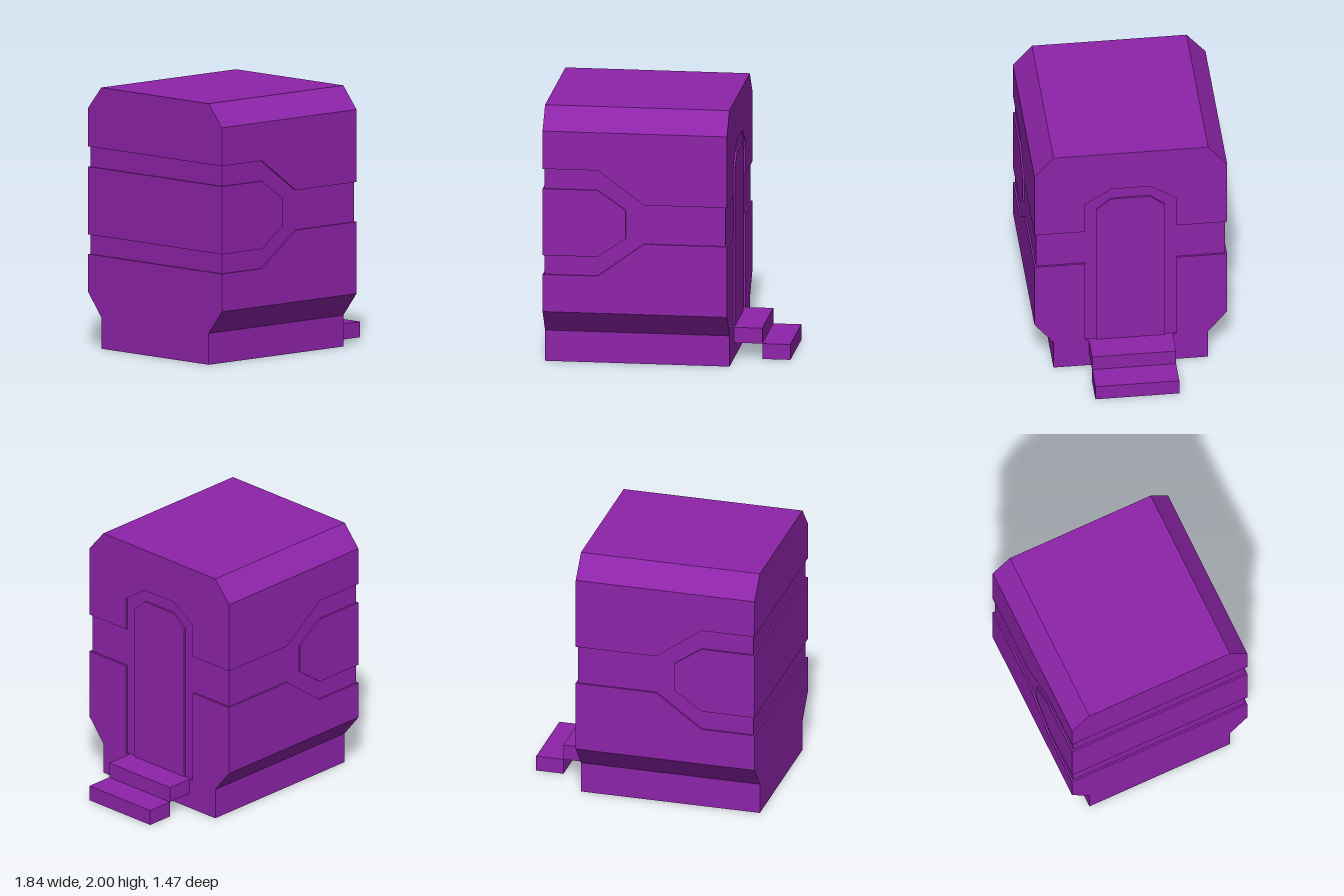
import * as THREE from 'three';
import { mergeGeometries } from 'three/addons/utils/BufferGeometryUtils.js';

// Outer shell bounds and the slightly inset bounds of the groove floor
const BACK = -0.92, FRONT = 0.49, SIDE = 0.735, INSET = 0.014;
const IN_BACK = BACK + INSET, IN_FRONT = FRONT - INSET, IN_SIDE = SIDE - INSET;

const material = new THREE.MeshStandardMaterial({
  color: 0x8e24aa, flatShading: true, side: THREE.DoubleSide,
});

// Half outlines, mirrored across z where needed
const mirrorZ = (pts) => [...pts, ...pts.map(([z, y]) => [-z, y]).reverse()];
const mirrorZ3 = (pts) => [...pts, ...pts.map(([x, y, z]) => [x, y, -z]).reverse()];

// Flat polygon on a wall; axis 'z' takes [x, y] points, axis 'x' takes [z, y]
function wall(points, axis, at) {
  const g = new THREE.ShapeGeometry(new THREE.Shape(points.map(([u, v]) => new THREE.Vector2(u, v))));
  const p = g.attributes.position;
  for (let i = 0; i < p.count; i++) {
    const u = p.getX(i), v = p.getY(i);
    if (axis === 'z') p.setXYZ(i, u, v, at);
    else p.setXYZ(i, at, v, u);
  }
  const flip = axis === 'z' ? at < 0 : at > 0;
  if (flip) g.setIndex([...g.index.array].reverse());
  return finish(g);
}

function finish(g) {
  const out = g.index ? g.toNonIndexed() : g;
  out.deleteAttribute('uv');
  out.computeVertexNormals();
  return out;
}

// Quads joining two matching rows of points
function strip(a, b, closed) {
  const pos = [];
  for (let i = 0; i < a.length - (closed ? 0 : 1); i++) {
    const j = (i + 1) % a.length;
    pos.push(...a[i], ...b[i], ...b[j], ...a[i], ...b[j], ...a[j]);
  }
  const g = new THREE.BufferGeometry();
  g.setAttribute('position', new THREE.Float32BufferAttribute(pos, 3));
  return finish(g);
}

// Narrow edge stepping from the outer shell down to the groove floor
function rim(loop) {
  const { clamp } = THREE.MathUtils;
  const inner = loop.map(([x, y, z]) => [
    clamp(x, IN_BACK, IN_FRONT), y, clamp(z, -IN_SIDE, IN_SIDE)]);
  return strip(loop, inner, true);
}

export function createModel() {
  const group = new THREE.Group();
  const add = (name, ...parts) => {
    const mesh = new THREE.Mesh(parts.length > 1 ? mergeGeometries(parts) : parts[0], material);
    mesh.name = name;
    group.add(mesh);
    return mesh;
  };
  const bothSides = (pts, at) => [wall(pts, 'z', at), wall(pts, 'z', -at)];

  // Roof, shoulders, lower bevels and foot; the underside is open
  const sweep = (name, profile) => add(name, strip(
    profile.map(([z, y]) => [FRONT, y, z]), profile.map(([z, y]) => [BACK, y, z])));
  sweep('roof', [[SIDE, 1.83], [0.59, 2], [-0.59, 2], [-SIDE, 1.83]]);
  sweep('leftFoot', [[0.59, 0], [0.59, 0.24], [SIDE, 0.42]]);
  sweep('rightFoot', [[-SIDE, 0.42], [-0.59, 0.24], [-0.59, 0]]);

  // Side walls above and below the groove
  const upperEdge = [[FRONT, 1.275], [-0.145, 1.275], [-0.5, 1.535], [BACK, 1.535]];
  const lowerEdge = [[FRONT, 0.97], [-0.145, 0.97], [-0.5, 0.71], [BACK, 0.71]];
  add('upperSideWalls', ...bothSides([[BACK, 1.83], [FRONT, 1.83], ...upperEdge], SIDE));
  add('lowerSideWalls', ...bothSides([[BACK, 0.42], [FRONT, 0.42], ...lowerEdge], SIDE));

  // End wall with the steps, cut by the doorway
  const arch = [[0.35, 1.535], [0.15, 1.665]];
  const top = [[SIDE, 1.83], [0.59, 2]];
  const base = [[0.59, 0], [0.59, 0.24], [SIDE, 0.42]];
  add('doorEndWall',
    wall([...mirrorZ(top), [-SIDE, 1.275], ...mirrorZ([[0.35, 1.275], ...arch]).reverse(), [SIDE, 1.275]], 'x', FRONT),
    wall([...base, ...mirrorZ([[SIDE, 0.97], [0.35, 0.97], [0.35, 0.24]]),
      ...base.map(([z, y]) => [-z, y]).reverse()], 'x', FRONT));

  // Plain end wall
  add('plainEndWall',
    wall(mirrorZ([[SIDE, 1.535], ...top]), 'x', BACK),
    wall(mirrorZ([...base, [SIDE, 0.71]]), 'x', BACK));

  // Raised panel wrapping around the plain end
  const panel = [[BACK, 0.86], [-0.5, 0.86], [-0.285, 1.01], [-0.285, 1.23], [-0.5, 1.38], [BACK, 1.38]];
  add('wrapPanel', ...bothSides(panel, SIDE),
    wall(mirrorZ([[SIDE, 0.86], [SIDE, 1.38]]), 'x', BACK),
    rim([...panel.slice(2).map(([x, y]) => [x, y, SIDE]),
      ...[...panel].reverse().slice(0, 4).map(([x, y]) => [x, y, -SIDE]),
      ...[[-0.5, 0.86, -SIDE], [BACK, 0.86, -SIDE], [BACK, 0.86, SIDE], [-0.5, 0.86, SIDE]]]
      .filter((p, i, all) => all.findIndex((q) => q.every((c, k) => c === p[k])) === i)));

  // Door
  const door = mirrorZ([[0.26, 0.24], [0.26, 1.48], [0.15, 1.57]]);
  add('door', wall(door, 'x', FRONT), rim(door.map(([z, y]) => [FRONT, y, z])));

  // Groove floor on the sides, the door end and the plain end
  const inset = ([x, y]) => [Math.min(Math.max(x, IN_BACK), IN_FRONT), y];
  add('grooveFloor',
    ...bothSides([...upperEdge, ...[...panel].reverse(), ...[...lowerEdge].reverse()].map(inset), IN_SIDE),
    wall([...mirrorZ([[0.35, 0.24], [0.35, 0.97], [IN_SIDE, 0.97], [IN_SIDE, 1.275], [0.35, 1.275], ...arch]),
      ...[...door].reverse()], 'x', IN_FRONT),
    wall(mirrorZ([[IN_SIDE, 1.38], [IN_SIDE, 1.535]]), 'x', IN_BACK),
    wall(mirrorZ([[IN_SIDE, 0.71], [IN_SIDE, 0.86]]), 'x', IN_BACK));

  // Groove edges running all the way round
  const around = (edge, doorway) => rim(mirrorZ3([
    ...[...edge].reverse().map(([x, y]) => [x, y, SIDE]),
    ...doorway.map(([z, y]) => [FRONT, y, z])]));
  add('grooveEdges',
    around(upperEdge, [[0.35, 1.275], ...arch]),
    around(lowerEdge, [[0.35, 0.97], [0.35, 0.24]]));

  // Two steps below the door
  [['upperStep', FRONT, 0.705, 0.12], ['lowerStep', 0.705, 0.92, 0]].forEach(([name, x0, x1, y]) => {
    add(name, new THREE.BoxGeometry(x1 - x0, 0.12, 0.64)).position.set((x0 + x1) / 2, y + 0.06, 0);
  });

  return group;
}
